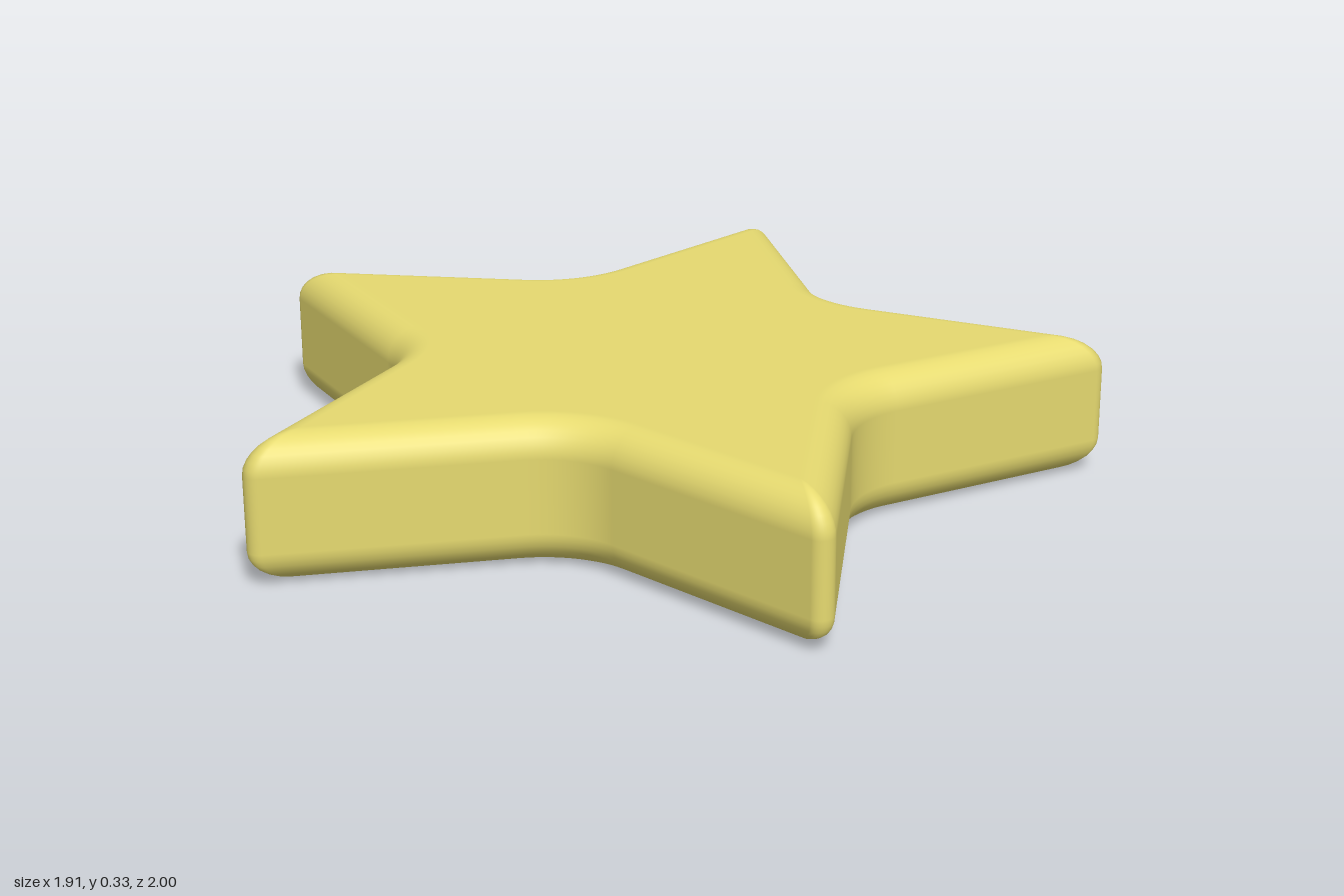
import * as THREE from 'three';

const HEIGHT = 0.33, BEVEL = 0.08;       // thickness and edge rounding
const APEX = 1.087, VALLEY = 0.55;       // radii of the sharp star
const TIP_R = 0.03, FILLET_R = 0.22;     // rounding of tips and valleys
const CENTRE_X = -0.1;
const STEP = Math.PI / 5;
// half-angle of each tip
const HALF = Math.atan2(VALLEY * Math.sin(STEP), APEX - VALLEY * Math.cos(STEP));

// Star outline inset by d: points with their outward direction, anticlockwise from above
function outline(d) {
  const pts = [];
  const r = TIP_R * (1 - d / BEVEL);
  const tipC = APEX - (d + r) / Math.sin(HALF);
  const filletC = VALLEY + FILLET_R / Math.sin(STEP + HALF);
  const edge = Math.PI / 2 - HALF;
  for (let arm = 0; arm < 5; arm++) {
    const turn = arm * 2 * STEP;
    const add = (cx, cy, radius, a) => {
      const x = cx + radius * Math.cos(a), y = cy + radius * Math.sin(a);
      const c = Math.cos(turn), s = Math.sin(turn);
      pts.push({ x: x * c - y * s, z: -(x * s + y * c), a: a + turn });
    };
    // rounded tip
    for (let i = 0; i <= 12; i++) add(tipC, 0, r, edge * (i / 6 - 1));
    // hollow between this arm and the next
    for (let i = 0; i <= 12; i++) {
      const a = edge + (2 * STEP - 2 * edge) * i / 12;
      add(filletC * Math.cos(STEP), filletC * Math.sin(STEP), -(FILLET_R + d), a);
    }
  }
  return pts;
}

function starGeometry() {
  const pos = [], nor = [], index = [];
  // cross-section of the rim: bottom quarter round, wall, top quarter round
  const rings = [];
  const N = 8;
  for (let i = 0; i <= N; i++) rings.push([-Math.PI / 2 * (1 - i / N), BEVEL]);
  for (let i = 0; i <= N; i++) rings.push([Math.PI / 2 * i / N, HEIGHT - BEVEL]);
  let count = 0;
  for (const [t, y0] of rings) {
    const loop = outline(BEVEL * (1 - Math.cos(t)));
    count = loop.length;
    for (const p of loop) {
      pos.push(p.x, y0 + BEVEL * Math.sin(t), p.z);
      nor.push(Math.cos(t) * Math.cos(p.a), Math.sin(t), -Math.cos(t) * Math.sin(p.a));
    }
  }
  for (let j = 0; j < rings.length - 1; j++) {
    for (let i = 0; i < count; i++) {
      const a = j * count + i, b = j * count + (i + 1) % count;
      index.push(a, b, b + count, a, b + count, a + count);
    }
  }
  // flat bottom and top as fans from the centre
  const bottom = pos.length / 3, top = bottom + 1, last = (rings.length - 1) * count;
  pos.push(0, 0, 0, 0, HEIGHT, 0);
  nor.push(0, -1, 0, 0, 1, 0);
  for (let i = 0; i < count; i++) {
    const k = (i + 1) % count;
    index.push(bottom, k, i, top, last + i, last + k);
  }
  const g = new THREE.BufferGeometry();
  g.setAttribute('position', new THREE.Float32BufferAttribute(pos, 3));
  g.setAttribute('normal', new THREE.Float32BufferAttribute(nor, 3));
  g.setIndex(index);
  return g;
}

export function createModel() {
  const group = new THREE.Group();
  group.name = 'roundedStar';
  const star = new THREE.Mesh(starGeometry(), new THREE.MeshStandardMaterial({ color: 0xe6da70 }));
  star.name = 'starBody';
  star.position.x = CENTRE_X;
  group.add(star);
  return group;
}
